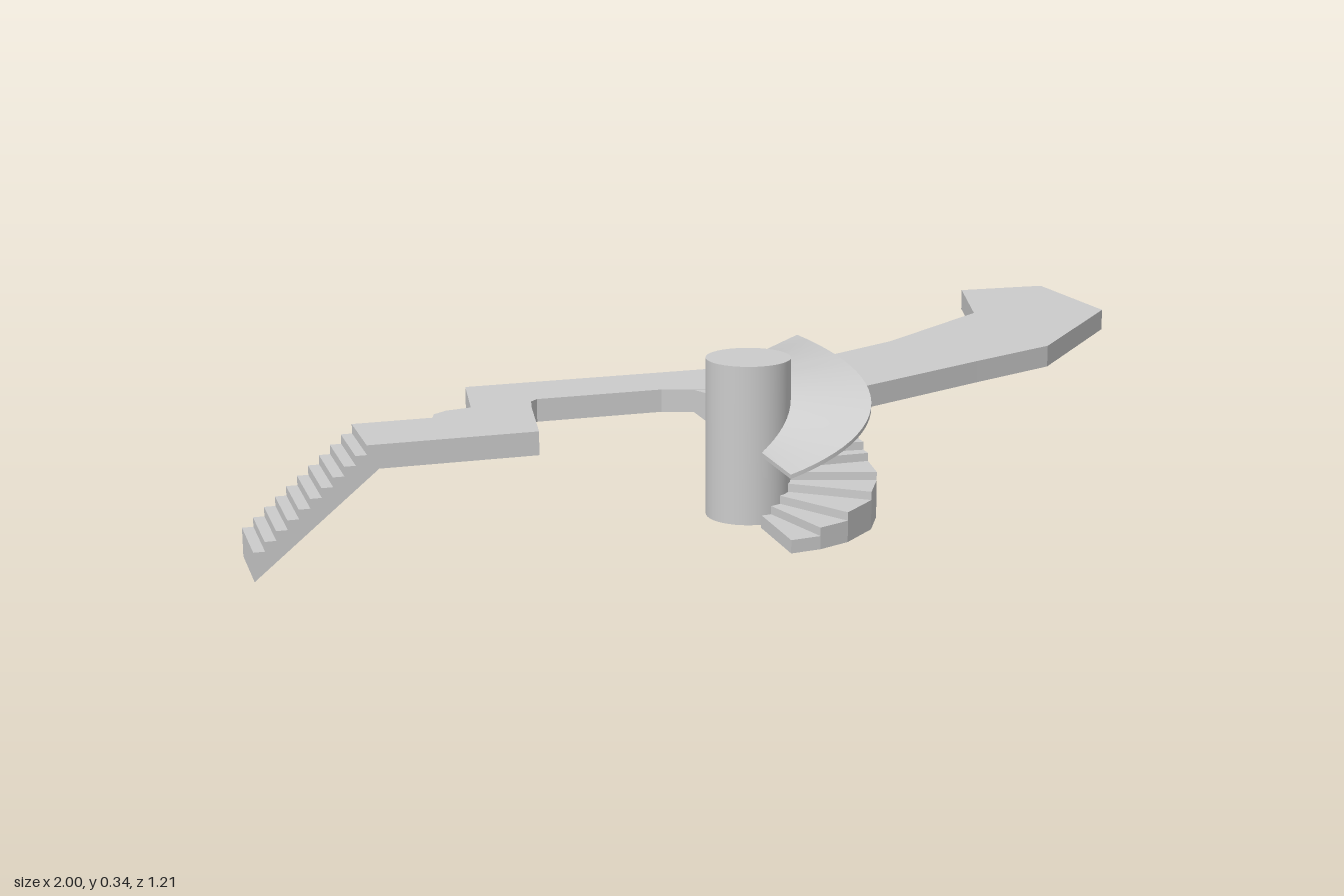
import * as THREE from 'three';
import { toCreasedNormals } from 'three/addons/utils/BufferGeometryUtils.js';

const CX = -0.072, CZ = 0.36; // axis of the spiral
const material = new THREE.MeshStandardMaterial({ color: 0xcccccc });

function add(group, name, geometry) {
  const mesh = new THREE.Mesh(geometry, material);
  mesh.name = name;
  group.add(mesh);
  return mesh;
}

function shapeOf(points) {
  return new THREE.Shape(points.map(([x, y]) => new THREE.Vector2(x, y)));
}

// Section of a strip: outer top, inner top, inner bottom, outer bottom
function section(outer, inner, top, bottom) {
  return [
    [outer[0], top, outer[1]], [inner[0], top, inner[1]],
    [inner[0], bottom, inner[1]], [outer[0], bottom, outer[1]],
  ];
}

// Solid strip through four-cornered sections, capped at both ends
function loft(sections) {
  const pos = [];
  const quad = (a, b, c, d) => pos.push(...a, ...b, ...c, ...a, ...c, ...d);
  for (let i = 0; i < sections.length - 1; i++) {
    const A = sections[i], B = sections[i + 1];
    for (let k = 0; k < 4; k++) {
      const n = (k + 1) % 4;
      quad(A[k], B[k], B[n], A[n]);
    }
  }
  const first = sections[0], last = sections[sections.length - 1];
  quad(...first);
  quad(last[3], last[2], last[1], last[0]);
  const g = new THREE.BufferGeometry();
  g.setAttribute('position', new THREE.Float32BufferAttribute(pos, 3));
  g.computeVertexNormals();
  return g;
}

// Point on a circle round the spiral axis, 0 degrees facing +z and turning to +x
function polar(degrees, r) {
  const a = THREE.MathUtils.degToRad(degrees);
  return [CX + r * Math.sin(a), CZ + r * Math.cos(a)];
}

function walkway() {
  const outline = [
    [-0.77, 0.2], [-0.64, 0.2], [-0.632, 0.175], [-0.605, 0.155], [-0.555, 0.145],
    [-0.53, -0.02], [0.07, -0.02], [0.07, -0.075], [0.17, -0.075], [0.17, -0.02],
    [0.42, -0.145], [0.71, -0.36], [0.79, -0.61], [0.99, -0.6], [1, -0.3],
    [0.72, 0], [0.52, 0.085], [0.17, 0.24], [-0.17, 0.12], [-0.42, 0.12],
    [-0.435, 0.135], [-0.445, 0.18], [-0.475, 0.36], [-0.77, 0.36],
  ];
  const g = new THREE.ExtrudeGeometry(shapeOf(outline.map(([x, z]) => [x, -z])), {
    depth: 0.045, bevelEnabled: false,
  });
  return g.rotateX(-Math.PI / 2).translate(0, 0.19, 0);
}

function straightStair() {
  const steps = 11, run = 0.23 / steps;
  const profile = [[-1, 0], [-0.77, 0.19]];
  for (let i = steps - 1; i >= 0; i--) {
    const y = 0.055 + i * 0.018;
    profile.push([-1 + (i + 1) * run, y], [-1 + i * run, y]);
  }
  const g = new THREE.ExtrudeGeometry(shapeOf(profile), { depth: 0.16, bevelEnabled: false });
  return g.translate(0, 0, 0.2);
}

function spiralStair() {
  // Tread edges: a fan round the column, then a straighter flight to the walkway
  const edges = [0, 14, 30, 52, 71, 90].map((a) => ({
    outer: polar(a, 0.243), inner: polar(a, 0.075), bottom: 0.035,
  }));
  const flight = [
    [0.335, 0, 0.32, 0.045], [0.31, -0.02, 0.285, 0.1], [0.295, -0.045, 0.255, 0.13],
    [0.28, -0.065, 0.23, 0.15], [0.265, -0.08, 0.205, 0.165],
    [0.252, -0.095, 0.178, 0.178], [0.24, -0.11, 0.142, 0.19],
  ];
  for (const [oz, ix, iz, bottom] of flight) {
    edges.push({ outer: [0.171, oz], inner: [ix, iz], bottom });
  }
  const sections = [];
  for (let i = 0; i < edges.length - 1; i++) {
    const top = 0.06 + i * 0.0159;
    for (const e of [edges[i], edges[i + 1]]) {
      sections.push(section(e.outer, e.inner, top, e.bottom));
    }
  }
  return loft(sections);
}

function spiralCanopy() {
  const sections = [], n = 24;
  for (let i = 0; i <= n; i++) {
    const t = i / n, a = 136 * t, top = 0.181 + 0.163 * t;
    sections.push(section(polar(a, 0.238 - 0.015 * t), polar(a, 0.07), top, top - 0.008));
  }
  return toCreasedNormals(loft(sections), 0.6);
}

export function createModel() {
  const model = new THREE.Group();
  model.name = 'raisedWalkway';
  add(model, 'walkwayDeck', walkway());
  add(model, 'straightStair', straightStair());
  add(model, 'spiralStair', spiralStair());
  add(model, 'spiralCanopy', spiralCanopy());
  add(model, 'column', new THREE.CylinderGeometry(0.08, 0.08, 0.303, 40)).position.set(CX, 0.1935, CZ);
  return model;
}
